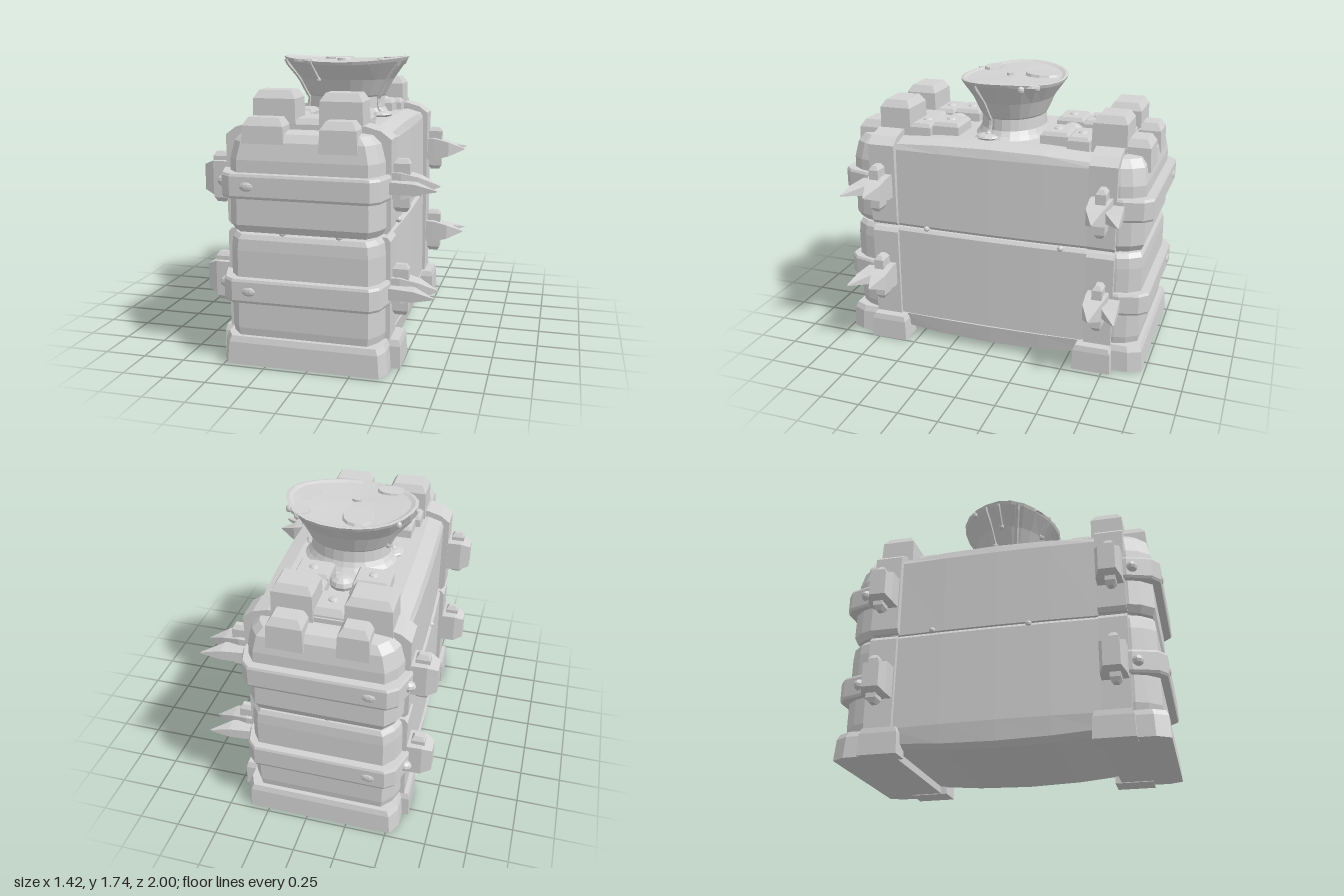
import * as THREE from 'three';

export function createModel() {
  const group = new THREE.Group();
  const stone = new THREE.MeshStandardMaterial({ color: 0xd2d2d2, flatShading: true });
  stone.name = 'stone grey';

  // Adds a mesh; the whole body leans slightly in x along its length
  function add(name, geo) {
    const p = geo.attributes.position;
    for (let i = 0; i < p.count; i++) p.setX(i, p.getX(i) + 0.025 * p.getZ(i));
    geo.computeVertexNormals();
    const mesh = new THREE.Mesh(geo, stone);
    mesh.name = name;
    group.add(mesh);
    return mesh;
  }

  // Closed solid from matching cross-sections, always wound outwards
  function loft(name, rings) {
    const tris = [], n = rings[0].length;
    for (let r = 0; r + 1 < rings.length; r++) {
      for (let i = 0; i < n; i++) {
        const j = (i + 1) % n, a = rings[r], b = rings[r + 1];
        tris.push([a[i], a[j], b[j]], [a[i], b[j], b[i]]);
      }
    }
    const first = rings[0], last = rings[rings.length - 1];
    const mid = ring => [0, 1, 2].map(k => ring.reduce((s, p) => s + p[k], 0) / n);
    for (let i = 0; i < n; i++) {
      const j = (i + 1) % n;
      tris.push([mid(first), first[j], first[i]], [mid(last), last[i], last[j]]);
    }
    const v = new THREE.Vector3(), w = new THREE.Vector3(), u = new THREE.Vector3();
    let volume = 0;
    for (const t of tris) volume += v.set(...t[0]).dot(w.set(...t[1]).cross(u.set(...t[2])));
    if (volume < 0) tris.forEach(t => t.reverse());
    const geo = new THREE.BufferGeometry();
    geo.setAttribute('position', new THREE.Float32BufferAttribute(tris.flat(2), 3));
    return add(name, geo);
  }

  // Plan outline [x, z] stacked at levels [y, scale] about (cx, cz), s mirrors in z
  const stack = (name, outline, levels, s = 1, cx = -0.065, cz = 0.6) =>
    loft(name, levels.map(([y, k]) => outline.map(([x, z]) => [cx + (x - cx) * k, y, s * (cz + (z - cz) * k)])));

  // Chunky block with chamfered top
  function block(name, x0, x1, y0, y1, z0, z1, c = 0.03, both = false) {
    const ring = (y, e) => [[x0 + e, y, z0 + e], [x1 - e, y, z0 + e], [x1 - e, y, z1 - e], [x0 + e, y, z1 - e]];
    const rings = [ring(y0, both ? c : 0), ring(y1 - c * 1.3, c * 0.2), ring(y1, c)];
    if (both) rings.splice(1, 0, ring(y0 + c * 1.3, c * 0.2));
    return loft(name, rings);
  }

  function bump(name, x, y, z, rx, ry, rz) {
    const g = new THREE.SphereGeometry(1, 10, 6);
    g.scale(rx, ry, rz).translate(x, y, z);
    return add(name, g);
  }

  // Side panels and sloping roof, bulging at mid length; the roof rises and the underside sags
  const lowerSection = [[-0.525, 0.16], [0.40, 0.16], [0.395, 0.755], [0.38, 0.775], [-0.505, 0.775], [-0.52, 0.755]];
  const upperSection = [[-0.505, 0.785], [0.38, 0.785], [0.395, 0.805], [0.385, 1.29], [0.37, 1.32],
    [0.28, 1.345], [-0.41, 1.345], [-0.495, 1.32], [-0.51, 1.29]];
  const baseSection = [[-0.47, 0.06], [0.34, 0.06], [0.39, 0.085], [0.405, 0.17], [-0.535, 0.17], [-0.52, 0.085]];
  const along = (section, bulge, rise) => [-0.66, -0.33, 0, 0.33, 0.62].map(z => {
    const k = 1 - (z / 0.66) ** 2;
    return section.map(([x, y]) =>
      [-0.065 + (x + 0.065) * (1 + bulge * k), y + (y > 1.3 || y < 0.1 ? rise * k : 0), z]);
  });
  loft('lowerBody', along(lowerSection, 0.03, 0));
  loft('upperBody', along(upperSection, 0.035, 0.025));
  loft('baseBody', along(baseSection, 0.045, -0.035));
  block('bodyCore', -0.48, 0.35, 0.1, 1.3, -0.8, 0.8);

  const capOutline = [[0.405, 0.62], [0.395, 0.80], [0.375, 0.87], [0.325, 0.94], [-0.44, 0.94], [-0.50, 0.87],
    [-0.525, 0.80], [-0.535, 0.62]];
  const baseOutline = [[0.43, 0.6], [0.43, 0.9], [0.395, 0.98], [-0.50, 0.98], [-0.545, 0.9], [-0.545, 0.6]];
  const strapOutline = [[0.42, 0.66], [0.42, 0.82], [0.39, 0.94], [0.34, 0.99], [-0.46, 0.99], [-0.52, 0.945],
    [-0.565, 0.80], [-0.57, 0.66]];
  const lowerPost = [[-0.55, 0.17], [0.42, 0.17], [0.42, 0.745], [0.40, 0.77], [-0.53, 0.77], [-0.55, 0.745]];
  const upperPost = [[-0.53, 0.79], [0.40, 0.79], [0.42, 0.815], [0.42, 1.32], [0.36, 1.365], [0.27, 1.39],
    [-0.40, 1.39], [-0.49, 1.365], [-0.55, 1.32], [-0.55, 0.815]];

  for (const s of [1, -1]) {
    // End walls, corner posts and base
    stack('lowerEndWall', capOutline, [[0.17, 0.98], [0.22, 1], [0.68, 0.995], [0.745, 0.98], [0.772, 0.94]], s);
    stack('upperEndWall', capOutline, [[0.788, 0.95], [0.83, 1], [1.2, 0.985], [1.30, 0.93], [1.345, 0.84], [1.36, 0.6]], s);
    for (const [name, section] of [['lowerPost', lowerPost], ['upperPost', upperPost]])
      loft(name, [0.615, 0.785].map(z => section.map(([x, y]) => [x, y, s * z])));
    stack('endBase', baseOutline, [[0.01, 1], [0.14, 0.98], [0.175, 0.95]], s);
    for (const [a, b] of [[0.33, 0.485], [-0.585, -0.46]])
      stack('footBlock', [[a, 0.56], [b, 0.56], [b, 0.80], [a, 0.80]], [[0.005, 1], [0.135, 0.96], [0.17, 0.85]], s,
        (a + b) / 2, 0.68);

    for (const y of [0.455, 1.06]) {
      // Strap around the end, with rivets
      stack('strap', strapOutline, [[y - 0.07, 0.985], [y - 0.055, 1], [y + 0.055, 1], [y + 0.07, 0.985]], s);
      bump('strapRivet', -0.36, y, s * 0.985, 0.045, 0.028, 0.015);
      bump('cornerRivet', -0.545, y, s * 0.83, 0.05, 0.035, 0.035);
      // Blunt clamp with its pin
      loft('clamp', [[-0.5, 0.10, 0.08], [-0.64, 0.10, 0.075], [-0.70, 0.075, 0.05]].map(([x, h, d]) =>
        [[1, 1], [-1, 1], [-1, -1], [1, -1]].map(([p, q]) => [x, y + p * h, s * 0.70 + q * d])));
      const z0 = s * 0.71 - 0.035;
      block('clampPin', -0.655, -0.565, y - 0.15, y + 0.15, z0, z0 + 0.07, 0.02, true);
      block('spikePin', 0.42, 0.52, y - 0.15, y + 0.15, z0, z0 + 0.07, 0.02, true);
      // Square-based spike and smaller angled prong
      const spike = (name, rings) => loft(name, rings.map(([x, z, h, d]) =>
        [[1, 1], [-1, 1], [-1, -1], [1, -1]].map(([p, q]) => [x, y + p * h, s * z + q * d])));
      spike('spike', [[0.38, 0.70, 0.075, 0.065], [0.47, 0.70, 0.075, 0.065], [0.57, 0.69, 0.05, 0.05],
        [0.68, 0.70, 0.003, 0.003]]);
      spike('sideProng', [[0.40, 0.77, 0.035, 0.06], [0.56, 0.80, 0.03, 0.045], [0.68, 0.85, 0.003, 0.003]]);
    }
  }

  // Battlement blocks over both ends: x0, x1, top, z0, z1
  const towers = [
    [-0.39, -0.13, 1.575, 0.57, 0.78], [0.00, 0.26, 1.565, 0.57, 0.78],
    [-0.41, -0.16, 1.435, 0.76, 0.92], [0.04, 0.26, 1.425, 0.76, 0.93],
    [-0.45, -0.17, 1.55, -0.80, -0.58], [0.00, 0.25, 1.57, -0.80, -0.58],
    [-0.35, -0.16, 1.435, -0.93, -0.77], [0.02, 0.24, 1.44, -0.94, -0.77],
  ];
  for (const [x0, x1, top, z0, z1] of towers) block('topBlock', x0, x1, 1.25, top, z0, z1, 0.035);
  block('frontRidge', -0.16, 0.04, 1.3, 1.42, 0.48, 0.78);
  block('backRidge', -0.18, 0.03, 1.3, 1.44, -0.78, -0.55);
  bump('ridgeStud', -0.08, 1.44, -0.66, 0.03, 0.015, 0.03);

  // Paving bricks with studs between blocks and funnel
  for (const s of [1, -1]) {
    for (const [x0, x1, z0, z1, top] of [[-0.38, -0.13, 0.435, 0.575, 1.43], [0.01, 0.26, 0.435, 0.575, 1.43],
      [-0.35, -0.13, 0.26, 0.44, 1.44], [0.01, 0.23, 0.26, 0.44, 1.44]]) {
      block('brick', x0, x1, 1.32, top, s > 0 ? z0 : -z1, s > 0 ? z1 : -z0, 0.018);
      bump('brickStud', (x0 + x1) / 2, top, s * (z0 + z1) / 2, 0.03, 0.012, 0.03);
    }
    bump('domeStud', -0.06, 1.38, s * 0.385, 0.08, 0.05, 0.07);
  }

  // Oval funnel filled to the brim
  const cx = -0.025, cz = -0.02, sides = 24;
  const oval = (r, y) => Array.from({ length: sides }, (_, i) => {
    const a = i / sides * Math.PI * 2, lift = y > 1.65 ? 0.014 * Math.cos(2 * a) * r / 0.4 : 0;
    const wobble = r * (1 + (y > 1.65 ? 0.012 * Math.sin(5 * a) : 0));
    return [cx + wobble * Math.cos(a), y + lift, cz + 0.8 * wobble * Math.sin(a)];
  });
  const profile = [[0.31, 1.35], [0.27, 1.39], [0.25, 1.42], [0.245, 1.49], [0.255, 1.50], [0.31, 1.60], [0.395, 1.705]];
  loft('funnel', [...profile, [0.405, 1.725], [0.385, 1.727], [0.36, 1.717], [0.15, 1.712]].map(p => oval(...p)));

  // Drips running down the funnel, with pools at their feet
  function drip(a, end, r) {
    const pts = [[0.40, 1.72], ...profile.slice().reverse()].filter(p => p[1] >= end)
      .map(([k, y]) => new THREE.Vector3(cx + k * Math.cos(a), y, cz + 0.8 * k * Math.sin(a)));
    add('drip', new THREE.TubeGeometry(new THREE.CatmullRomCurve3(pts), 12, r, 6));
    const e = pts[pts.length - 1];
    bump('dripEnd', e.x, e.y, e.z, r * 1.3, r * 1.5, r * 1.3);
    if (end < 1.4) bump('dripPool', e.x, e.y - 0.01, e.z, 0.07, 0.02, 0.08);
  }
  for (const [a, end, r] of [[0.42, 1.38, 0.016], [-0.5, 1.7, 0.016], [-0.8, 1.7, 0.015], [2.75, 1.38, 0.016],
    [3.15, 1.6, 0.014], [3.45, 1.5, 0.016], [3.75, 1.7, 0.015], [2.0, 1.6, 0.014]]) drip(a, end, r);

  // Skin patches on the filled surface
  for (const [x, z, rx, rz] of [[-0.11, -0.18, 0.10, 0.12], [0.27, 0.03, 0.09, 0.10], [-0.23, 0.19, 0.09, 0.06],
    [0.24, -0.2, 0.06, 0.06], [-0.05, 0.02, 0.03, 0.02]]) {
    const g = new THREE.CylinderGeometry(0.93, 1, 0.016, 12);
    g.scale(rx, 1, rz).translate(x, 1.718, z);
    add('surfacePatch', g);
  }

  // Chips along the seam
  for (const [x, y, z] of [[0.40, 0.79, 0.42], [0.395, 0.768, -0.45], [-0.52, 0.79, -0.4], [-0.525, 0.768, 0.2],
    [-0.18, 0.785, 0.90], [0.15, 0.785, 0.90], [-0.1, 0.785, -0.90]]) bump('seamChip', x, y, z, 0.02, 0.018, 0.02);

  return group;
}
